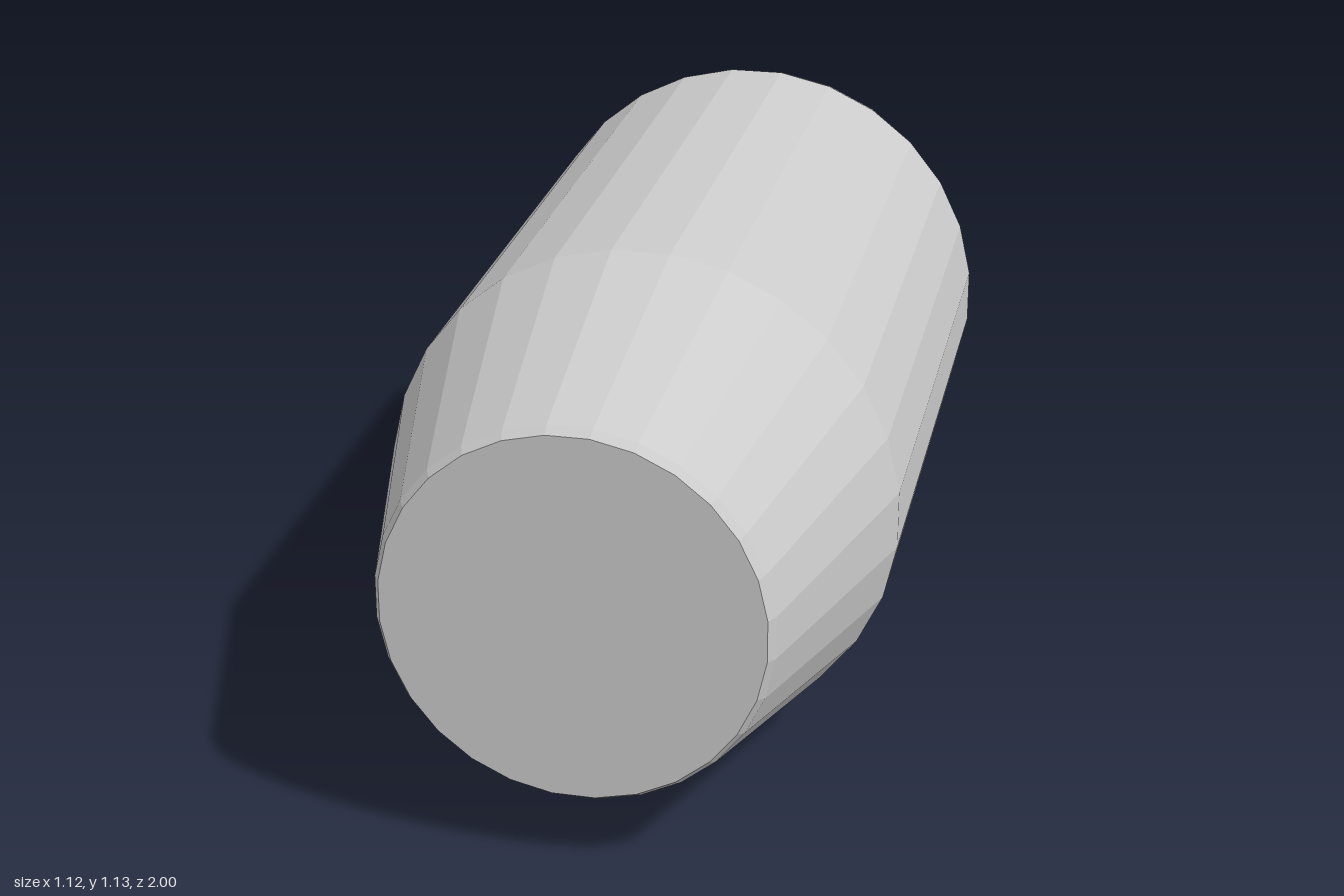
import * as THREE from 'three';

export function createModel() {
  const group = new THREE.Group();
  const material = new THREE.MeshStandardMaterial({ color: 0xcccccc, flatShading: true });

  // Profile from back cap to front cap: [radius, z]
  const profile = [
    [0, -1], [0.465, -1], [0.505, -0.985], [0.535, -0.955], [0.553, -0.9],
    [0.558, 0.4], [0.408, 0.98], [0.395, 1], [0, 1],
  ].map(([r, z]) => new THREE.Vector2(r, z));

  const sides = 28;
  const geometry = new THREE.LatheGeometry(profile, sides, Math.PI / sides);
  geometry.rotateX(Math.PI / 2);

  // The barrel leans slightly up and to its right towards the back
  const pos = geometry.attributes.position;
  for (let i = 0; i < pos.count; i++) {
    const back = Math.max(0, 0.4 - pos.getZ(i));
    pos.setX(i, pos.getX(i) + 0.006 - 0.0135 * back);
    pos.setY(i, pos.getY(i) + 0.558 + 0.0165 * back);
  }
  geometry.computeVertexNormals();

  const body = new THREE.Mesh(geometry, material);
  body.name = 'taperedBarrel';
  group.add(body);
  return group;
}
